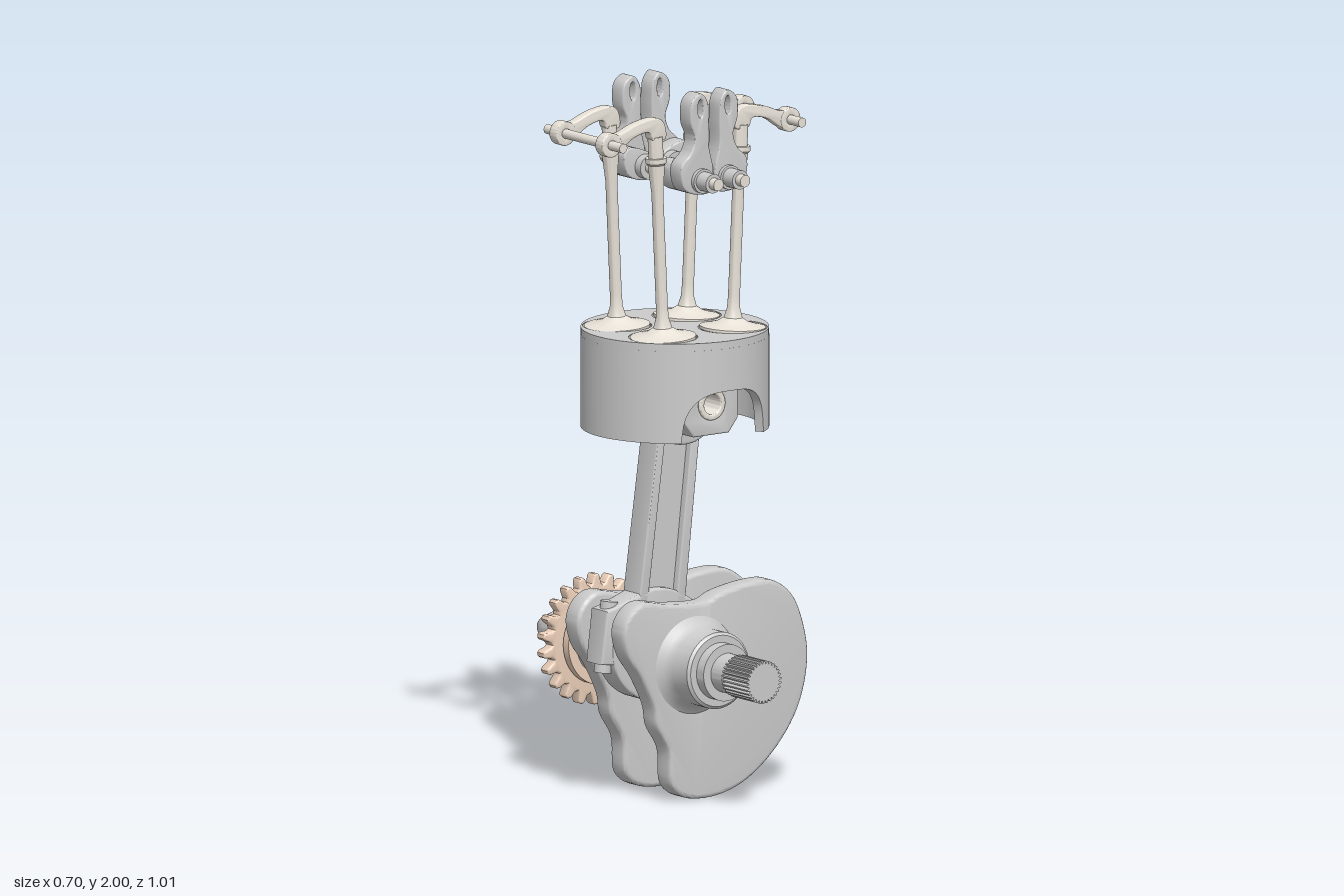
import * as THREE from 'three';
import { toCreasedNormals } from 'three/addons/utils/BufferGeometryUtils.js';

const steel = new THREE.MeshStandardMaterial({ color: 0xcccccc });
const pale = new THREE.MeshStandardMaterial({ color: 0xe8e2d8 });
const copper = new THREE.MeshStandardMaterial({ color: 0xecd0ba });

const v2 = (pts) => pts.map(([x, y]) => new THREE.Vector2(x, y));
const crease = (geo) => toCreasedNormals(geo, 0.6);

function add(parent, name, geo, mat = steel) {
  const mesh = new THREE.Mesh(geo, mat);
  mesh.name = name;
  parent.add(mesh);
  return mesh;
}

function group(parent, name, x = 0, y = 0, z = 0) {
  const g = new THREE.Group();
  g.name = name;
  g.position.set(x, y, z);
  parent.add(g);
  return g;
}

// Extrusion along z between two depths, with an inward bevel
function slab(shape, z0, z1, bevel = 0) {
  const geo = new THREE.ExtrudeGeometry(shape, {
    depth: z1 - z0 - 2 * bevel, curveSegments: 32, bevelEnabled: bevel > 0,
    bevelSize: bevel, bevelThickness: bevel, bevelOffset: -bevel, bevelSegments: 3,
  });
  return crease(geo.translate(0, 0, z0 + bevel));
}

// Smooth closed outline through a few points
function blob(pts, n = 80) {
  const curve = new THREE.CatmullRomCurve3(pts.map(([x, y]) => new THREE.Vector3(x, y, 0)), true, 'centripetal');
  return new THREE.Shape(curve.getPoints(n).slice(0, n).map((p) => new THREE.Vector2(p.x, p.y)));
}

const circle = (x, y, r) => new THREE.Path().absarc(x, y, r, 0, Math.PI * 2);
const disc = (x, y, r) => new THREE.Shape().absarc(x, y, r, 0, Math.PI * 2);
const lathe = (pts, n = 64) => crease(new THREE.LatheGeometry(v2(pts), n));
const latheZ = (pts, n = 64) => lathe(pts, n).rotateX(Math.PI / 2);
const rodZ = (r, z0, z1, n = 40) =>
  new THREE.CylinderGeometry(r, r, z1 - z0, n).rotateX(Math.PI / 2).translate(0, 0, (z0 + z1) / 2);

// Toothed wheel outline; profile gives [fraction of a tooth, radius]
function toothed(count, profile) {
  const pts = [];
  for (let i = 0; i < count; i++) {
    for (const [f, r] of profile) {
      const a = ((i + f) / count) * Math.PI * 2;
      pts.push(new THREE.Vector2(r * Math.cos(a), r * Math.sin(a)));
    }
  }
  return new THREE.Shape(pts);
}

function buildCrankshaft(root) {
  const crank = group(root, 'crankshaft', -0.043, 0.382, 0);
  add(crank, 'rearShaft', latheZ([[0, -0.507], [0.025, -0.507], [0.03, -0.5], [0.052, -0.45], [0.052, -0.24],
    [0.095, -0.24], [0.095, -0.13], [0.102, -0.105], [0.125, -0.085], [0.125, -0.06], [0, -0.06]]));
  add(crank, 'frontShaft', latheZ([[0, 0.16], [0.14, 0.16], [0.14, 0.19], [0.118, 0.205], [0.108, 0.23], [0.108, 0.295],
    [0.1, 0.302], [0.08, 0.302], [0.08, 0.335], [0.055, 0.335], [0.055, 0.395], [0, 0.395]]));
  add(crank, 'spline', slab(toothed(30, [[0, 0.052], [0.25, 0.06], [0.6, 0.06], [0.85, 0.052]]), 0.39, 0.507));

  // Sprocket with stepped hub
  const sprocket = group(crank, 'sprocket');
  add(sprocket, 'hub', latheZ([[0.05, -0.345], [0.066, -0.345], [0.066, -0.37], [0.087, -0.37], [0.087, -0.33],
    [0.117, -0.33], [0.123, -0.324], [0.123, -0.305], [0.115, -0.305], [0.115, -0.255], [0.123, -0.255],
    [0.123, -0.23], [0.05, -0.23]].map(([r, z]) => [r, z])), copper);
  add(sprocket, 'teeth', slab(toothed(22, [[0, 0.152], [0.15, 0.158], [0.27, 0.178], [0.38, 0.184],
    [0.58, 0.184], [0.69, 0.178], [0.81, 0.158]]), -0.299, -0.263, 0.006), copper);

  // Counterweighted webs and the crankpin between them
  const web = blob([[-0.29, 0.5], [-0.27, 0.545], [-0.225, 0.574], [-0.125, 0.56], [0, 0.555], [0.04, 0.572],
    [0.165, 0.592], [0.23, 0.587], [0.295, 0.54], [0.34, 0.43], [0.347, 0.34], [0.315, 0.22], [0.235, 0.11],
    [0.125, 0.03], [0.01, 0.001], [-0.085, 0.014], [-0.125, 0.05], [-0.135, 0.15], [-0.175, 0.22],
    [-0.185, 0.275], [-0.23, 0.365], [-0.275, 0.43]], 120);
  add(root, 'frontWeb', slab(web, 0.125, 0.192, 0.012));
  add(root, 'rearWeb', slab(web, -0.086, -0.019, 0.012));
  add(root, 'crankpin', rodZ(0.1, -0.03, 0.14)).position.set(-0.097, 0.43, 0);
}

function buildConnectingRod(root) {
  const L = 0.69;
  const rod = group(root, 'connectingRod', -0.097, 0.43, 0.052);
  rod.rotation.z = -0.122;
  // I-section beam
  add(rod, 'beamWeb', slab(new THREE.Shape(v2([[-0.08, 0.1], [0.08, 0.1], [0.072, 0.6], [-0.072, 0.6]])), -0.018, 0.018));
  for (const s of [-1, 1]) {
    const flange = v2([[s * 0.08, 0.1], [s * 0.072, 0.62], [s * 0.045, 0.62], [s * 0.05, 0.1]]);
    add(rod, 'beamFlange', slab(new THREE.Shape(flange), -0.04, 0.04, 0.004));
    const bolt = add(rod, 'capBolt', new THREE.CylinderGeometry(0.024, 0.024, 0.2, 24));
    bolt.position.set(s * 0.155, 0.015, 0);
  }
  // Big end with bolted cap, and small end
  add(rod, 'bigEnd', slab(disc(0, 0, 0.158), -0.04, 0.04, 0.006));
  const lugs = new THREE.Shape(v2([[-0.187, -0.06], [0.187, -0.06], [0.187, 0.07], [0.16, 0.1],
    [0.08, 0.14], [-0.08, 0.14], [-0.16, 0.1], [-0.187, 0.09]]));
  add(rod, 'capLugs', slab(lugs, -0.038, 0.038, 0.006));
  add(rod, 'smallEnd', slab(disc(0, L, 0.13), -0.055, 0.055, 0.006));
}

// Valve centres in the piston frame
const VALVE_X = 0.12, VALVE_Z = 0.106;

function buildPiston(root) {
  const piston = group(root, 'piston', -0.01, 0, 0.052);
  // Skirt, with arches cut up into the front and back
  const bottom = 1.03;
  const geo = new THREE.LatheGeometry(v2([[0, 1.25], [0.236, 1.25], [0.236, bottom], [0.261, bottom], [0.261, 1.29], [0, 1.29]]), 240);
  const pos = geo.attributes.position;
  for (let i = 0; i < pos.count; i++) {
    if (pos.getY(i) > bottom + 0.01) continue;
    const r = Math.hypot(pos.getX(i), pos.getZ(i));
    const t = Math.abs(pos.getX(i) / r) * 0.261 / 0.14;
    if (t < 1) pos.setY(i, bottom + 0.14 * Math.pow(1 - t ** 3, 1 / 2.5));
  }
  add(piston, 'skirt', crease(geo));

  // Crown with four valve pockets
  const crown = disc(0, 0, 0.261);
  for (const x of [-VALVE_X, VALVE_X])
    for (const z of [-VALVE_Z, VALVE_Z]) crown.holes.push(circle(x, z, 0.096));
  add(piston, 'crown', slab(crown, 0, 0.022).rotateX(-Math.PI / 2).translate(0, 1.289, 0));

  // Bosses and hollow gudgeon pin
  const boss = new THREE.Shape(v2([[-0.092, 1.255], [-0.092, 1.07], [-0.06, 1.03], [0.06, 1.03], [0.092, 1.07], [0.092, 1.255]]));
  boss.holes.push(circle(0, 1.117, 0.044));
  for (const z of [-0.17, 0.065]) add(piston, 'pinBoss', slab(boss, z, z + 0.105, 0.005));
  const pin = disc(0, 1.117, 0.045);
  pin.holes.push(circle(0, 1.117, 0.028));
  add(piston, 'gudgeonPin', slab(pin, -0.175, 0.175, 0.004), pale);
}

function buildValveSide(train, name) {
  const side = group(train, name);
  const valveGeo = lathe([[0, 0], [0.085, 0], [0.092, 0.006], [0.092, 0.014], [0.07, 0.019], [0.045, 0.026], [0.026, 0.038],
    [0.018, 0.065], [0.0165, 0.1], [0.0165, 0.42], [0.024, 0.5], [0.03, 0.506], [0.03, 0.52], [0.021, 0.52],
    [0.021, 0.58], [0, 0.58]], 48);

  const arm = blob([[0.29, 1.9], [0.272, 1.905], [0.214, 1.926], [0.145, 1.932], [0.126, 1.915], [0.122, 1.872],
    [0.166, 1.872], [0.178, 1.895], [0.23, 1.887], [0.277, 1.857], [0.3, 1.85]], 60);
  const eye = disc(0.309, 1.875, 0.034);
  eye.holes.push(circle(0.309, 1.875, 0.013));

  const lever = blob([[0.023, 1.975], [0.045, 2.0], [0.076, 1.98], [0.081, 1.92], [0.066, 1.875], [0.08, 1.835],
    [0.113, 1.8], [0.102, 1.735], [0.05, 1.715], [0.01, 1.722], [0.003, 1.78], [0.018, 1.85], [0.018, 1.92]], 70);
  lever.holes.push(new THREE.Path().absellipse(0.047, 1.957, 0.009, 0.026, 0, Math.PI * 2));
  const pad = blob([[0.003, 1.77], [0.04, 1.797], [0.1, 1.81], [0.115, 1.79], [0.102, 1.735], [0.05, 1.715], [0.01, 1.722]], 50);

  for (const s of [-1, 1]) {
    const span = (a, b) => (s > 0 ? [a, b] : [-b, -a]);
    // Valve and its rocker arm
    const valve = add(side, 'valve', valveGeo, pale);
    valve.position.set(VALVE_X, 1.3, s * VALVE_Z);
    valve.rotation.z = -0.048;
    add(side, 'rockerArm', slab(arm, ...span(VALVE_Z - 0.016, VALVE_Z + 0.016), 0.004), pale);
    add(side, 'rockerEye', slab(eye, ...span(VALVE_Z - 0.017, VALVE_Z + 0.017), 0.003), pale);
    // Upright lever with pad and stepped boss
    add(side, 'lever', slab(lever, ...span(0.13, 0.183), 0.004));
    add(side, 'leverPad', slab(pad, ...span(0.078, 0.132), 0.004));
    add(side, 'leverBoss', rodZ(0.034, ...span(0.052, 0.195))).position.set(0.046, 1.755, 0);
    add(side, 'leverCollar', rodZ(0.027, ...span(0.19, 0.24))).position.set(0.046, 1.755, 0);
  }
  add(side, 'leverShaft', rodZ(0.017, -0.263, 0.263), pale).position.set(0.046, 1.755, 0);
  add(side, 'rockerShaft', rodZ(0.0135, -0.175, 0.175), pale).position.set(0.309, 1.875, 0);
  return side;
}

export function createModel() {
  const root = new THREE.Group();
  root.name = 'engineCylinder';
  buildCrankshaft(root);
  buildConnectingRod(root);
  buildPiston(root);
  // The two valve sides are half a turn apart
  const train = group(root, 'valveTrain', -0.01, 0, 0.052);
  buildValveSide(train, 'leftValves');
  buildValveSide(train, 'rightValves').rotation.y = Math.PI;
  return root;
}
